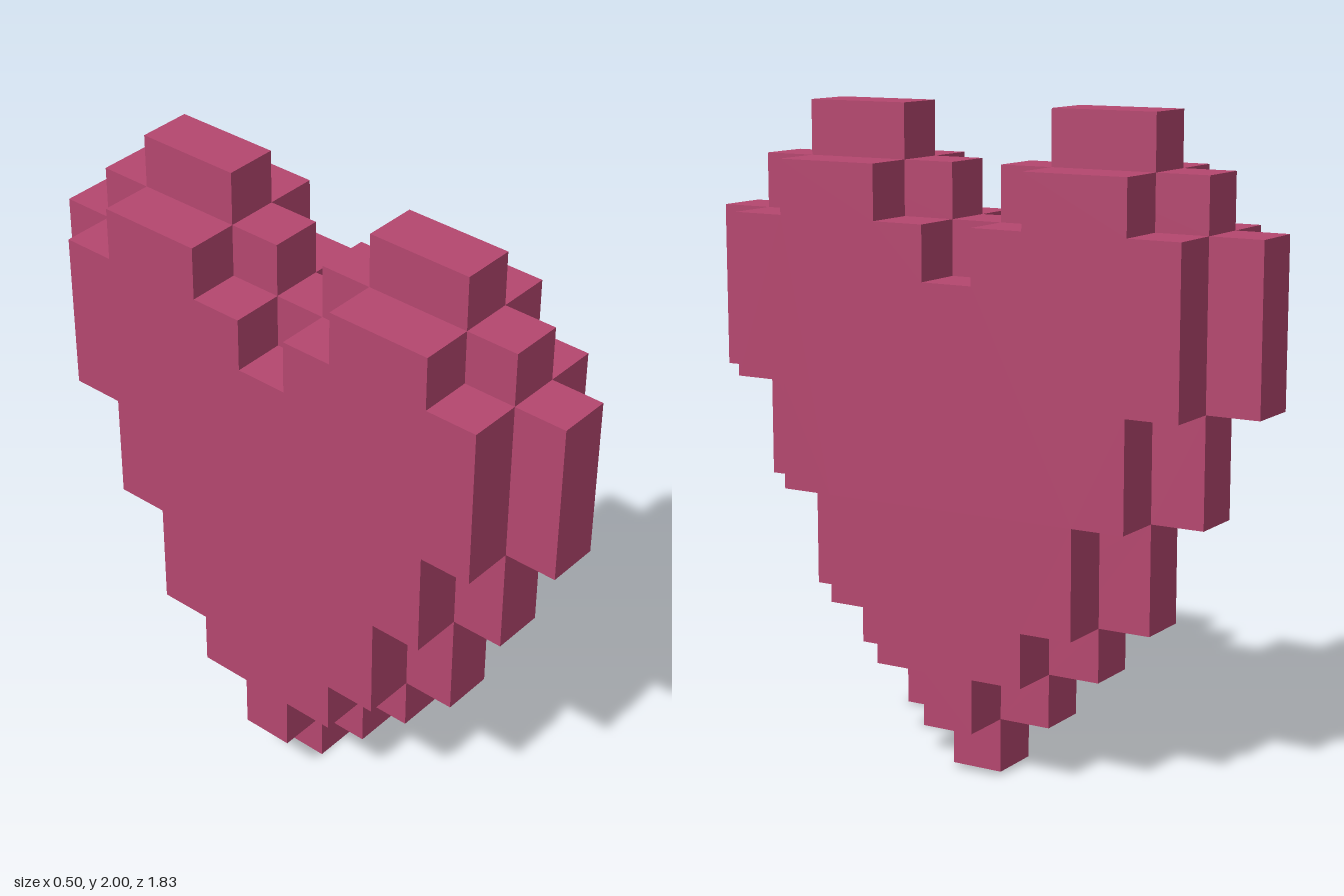
import * as THREE from 'three';

const U = 1 / 6; // edge of one block

// Right half of each stepped outline, from bottom to top, in blocks: [distance from centre, height]
const coreHalf = [
  [0.5, 0], [0.5, 1], [1.5, 1], [1.5, 2], [2.5, 2], [2.5, 3], [3.5, 3], [3.5, 5],
  [4.5, 5], [4.5, 7], [5.5, 7], [5.5, 10], [4.5, 10], [4.5, 11], [3.5, 11], [3.5, 12],
  [1.5, 12], [1.5, 11], [0.5, 11], [0.5, 10],
];
const sideHalf = [
  [0.5, 1], [0.5, 2], [1.5, 2], [1.5, 3], [2.5, 3], [2.5, 5], [3.5, 5], [3.5, 7],
  [4.5, 7], [4.5, 10], [3.5, 10], [3.5, 11], [1.5, 11], [1.5, 10], [0.5, 10], [0.5, 9],
];

// One block-thick heart layer, mirrored about its centre and facing along x
function heartLayer(name, half, x, material) {
  const mirrored = half.map(([a, y]) => [-a, y]).reverse();
  const points = [...half, ...mirrored].map(([a, y]) => new THREE.Vector2(a * U, y * U));
  const geometry = new THREE.ExtrudeGeometry(new THREE.Shape(points), { depth: U, bevelEnabled: false });
  geometry.translate(0, 0, -U / 2).rotateY(Math.PI / 2);
  const mesh = new THREE.Mesh(geometry, material);
  mesh.name = name;
  mesh.position.x = x;
  return mesh;
}

export function createModel() {
  const heartPink = new THREE.MeshStandardMaterial({ color: 0xb5476f });
  heartPink.name = 'heartPink';

  const model = new THREE.Group();
  model.name = 'blockHeart';
  model.add(
    heartLayer('heartCore', coreHalf, 0, heartPink),
    heartLayer('leftLayer', sideHalf, U, heartPink),
    heartLayer('rightLayer', sideHalf, -U, heartPink),
  );
  return model;
}
